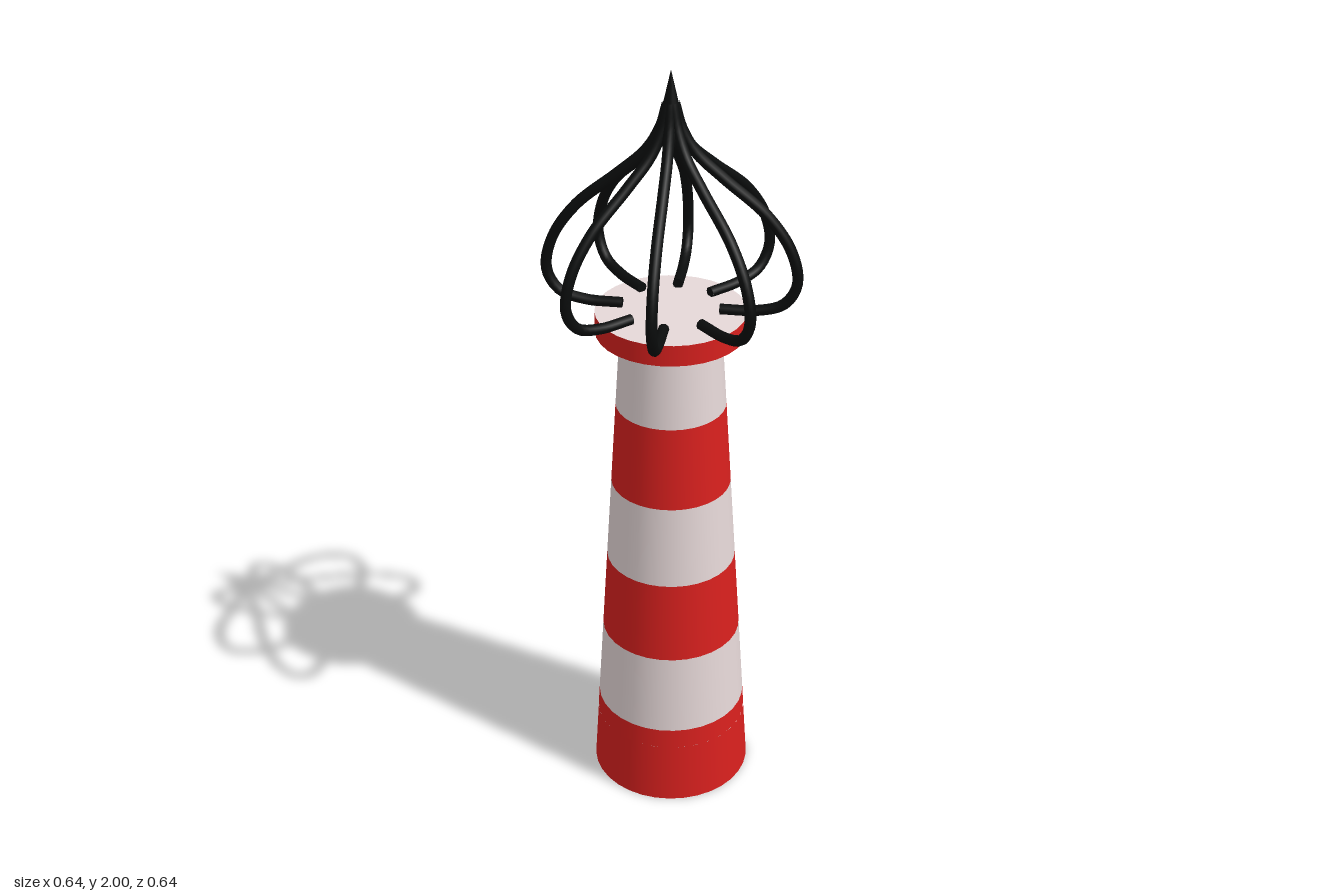
import * as THREE from 'three';

const mat = (color, side = THREE.FrontSide) => new THREE.MeshStandardMaterial({ color, side });
const red = mat(0xd8201e), white = mat(0xe6d8d8), black = mat(0x0a0c0c);

const BASE_R = 0.21, NECK_R = 0.126, NECK_Y = 1.335;
const DOOR_H = 0.17, DOOR_START = Math.PI - 0.56, DOOR_ANGLE = 0.75;
const radiusAt = (y) => BASE_R + (NECK_R - BASE_R) * (y / NECK_Y);

function add(parent, name, geometry, material) {
  const mesh = new THREE.Mesh(geometry, material);
  mesh.name = name;
  parent.add(mesh);
  return mesh;
}

// Open section of the tapered wall between two heights
function wall(parent, name, y0, y1, material, segments = 32, start = 0, angle = Math.PI * 2) {
  const geometry = new THREE.CylinderGeometry(radiusAt(y1), radiusAt(y0), y1 - y0, segments, 1, true, start, angle);
  geometry.translate(0, (y0 + y1) / 2, 0);
  return add(parent, name, geometry, material);
}

function disc(parent, name, radius, y, up, material) {
  const geometry = new THREE.CircleGeometry(radius, 32);
  geometry.rotateX(up ? -Math.PI / 2 : Math.PI / 2);
  return add(parent, name, geometry.translate(0, y, 0), material);
}

export function createModel() {
  const model = new THREE.Group();
  model.name = 'lighthouse';

  // Tower: striped bands, the lowest one interrupted by the doorway
  const tower = new THREE.Group();
  tower.name = 'tower';
  model.add(tower);
  const heights = [0.225, 0.45, 0.675, 0.9, 1.125, NECK_Y];
  wall(tower, 'baseWall', 0, DOOR_H, red, 30, DOOR_START + DOOR_ANGLE, Math.PI * 2 - DOOR_ANGLE);
  wall(tower, 'wallOverDoor', DOOR_H, heights[0], red);
  for (let i = 0; i < heights.length - 1; i++) {
    wall(tower, i % 2 ? 'redBand' : 'whiteBand', heights[i], heights[i + 1], i % 2 ? red : white);
  }

  // Flat door across the doorway, with the lintel above it
  wall(tower, 'door', 0, DOOR_H, black, 1, DOOR_START, DOOR_ANGLE);
  disc(tower, 'lintel', radiusAt(DOOR_H), DOOR_H, false, red);

  // Floor, cut straight along the door
  const floorShape = new THREE.Shape();
  const doorEdge = Math.PI / 2 - DOOR_START;
  floorShape.absarc(0, 0, BASE_R, doorEdge, doorEdge - DOOR_ANGLE + Math.PI * 2, false);
  add(tower, 'floor', new THREE.ShapeGeometry(floorShape, 32).rotateX(Math.PI / 2), red);

  // Gallery deck
  const deck = new THREE.Group();
  deck.name = 'galleryDeck';
  model.add(deck);
  const rim = new THREE.CylinderGeometry(0.187, 0.187, 0.055, 32, 1, true);
  add(deck, 'deckRim', rim.translate(0, 1.358, 0), red);
  disc(deck, 'deckTop', 0.187, 1.3855, true, white);
  disc(deck, 'deckUnderside', 0.187, 1.3305, false, white);

  // Onion-shaped cage of eight bent bars
  const cage = new THREE.Group();
  cage.name = 'lanternCage';
  cage.rotation.y = 0.014;
  model.add(cage);
  const profile = [
    [0.12, 1.396], [0.21, 1.399], [0.275, 1.42], [0.306, 1.475], [0.29, 1.56],
    [0.23, 1.65], [0.125, 1.74], [0.06, 1.8], [0.025, 1.86], [0.008, 1.92],
  ];
  const curve = new THREE.CatmullRomCurve3(profile.map(([r, y]) => new THREE.Vector3(r, y, 0)));
  const barGeometry = new THREE.TubeGeometry(curve, 48, 0.0135, 10);
  const endCap = new THREE.CircleGeometry(0.0135, 10);
  endCap.rotateY(-Math.PI / 2).translate(0.12, 1.396, 0);
  for (let i = 0; i < 8; i++) {
    const bar = new THREE.Group();
    bar.name = 'cageBar';
    bar.rotation.y = (i * Math.PI) / 4;
    add(bar, 'bar', barGeometry, black);
    add(bar, 'barEnd', endCap, black);
    cage.add(bar);
  }

  // Pointed finial where the bars meet
  const spike = [[0, 1.8], [0.04, 1.83], [0.03, 1.87], [0.016, 1.93], [0, 2]];
  add(cage, 'finial', new THREE.LatheGeometry(spike.map(([r, y]) => new THREE.Vector2(r, y)), 16), black);

  return model;
}
